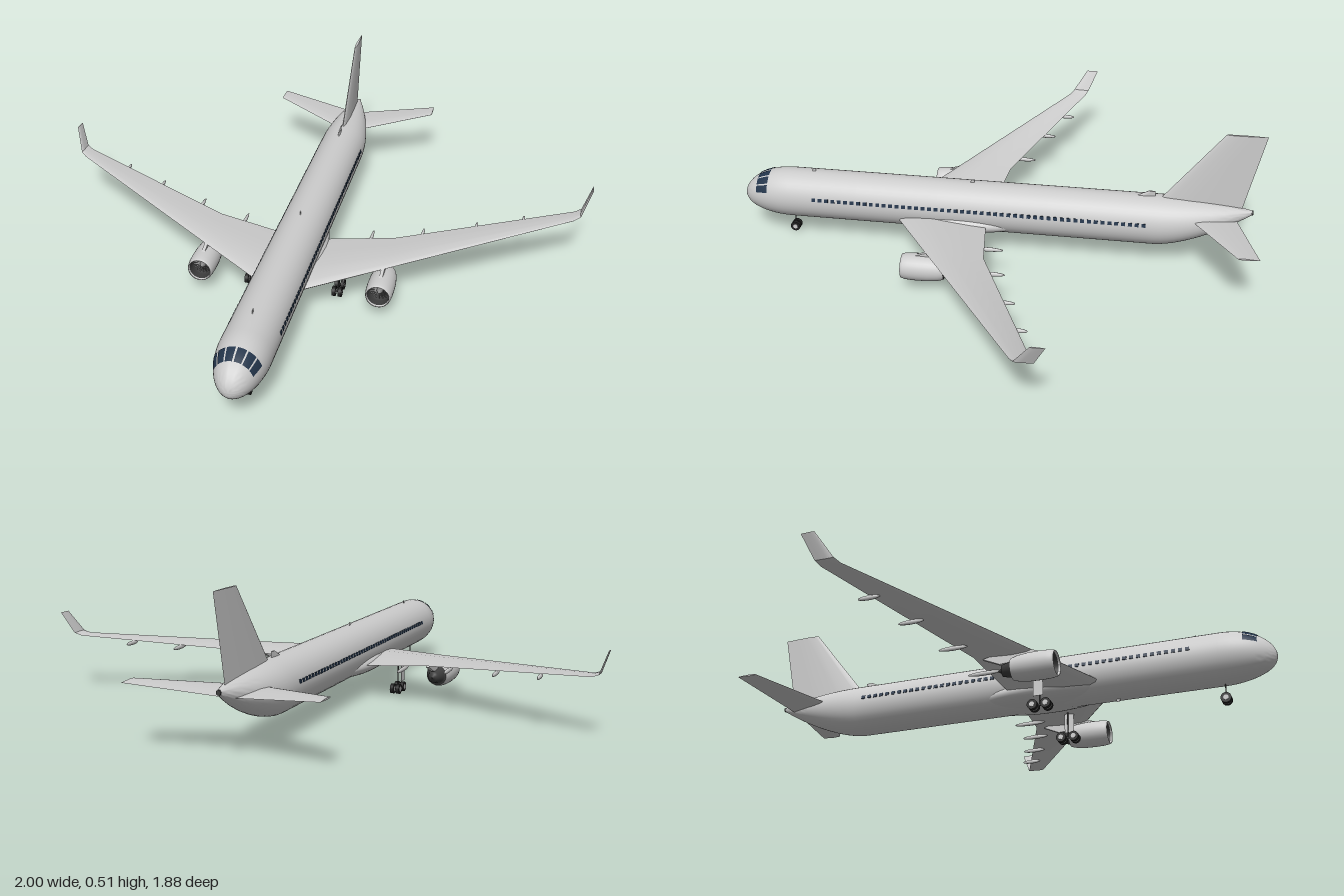
import * as THREE from 'three';
import { mergeGeometries, toCreasedNormals } from 'three/addons/utils/BufferGeometryUtils.js';

const mat = (name, color, side = THREE.FrontSide) => {
  const m = new THREE.MeshStandardMaterial({ color, side });
  m.name = name;
  return m;
};

// Skin over a row of closed rings, with both ends capped.
function loft(rings, crease = 0.6) {
  const n = rings[0].length, pos = [], index = [];
  rings.forEach(r => r.forEach(p => pos.push(p.x, p.y, p.z)));
  for (let i = 0; i < rings.length - 1; i++) {
    for (let j = 0; j < n; j++) {
      const a = i * n + j, b = i * n + (j + 1) % n;
      index.push(a, b, b + n, a, b + n, a + n);
    }
  }
  [0, rings.length - 1].forEach((i, end) => {
    const c = rings[i].reduce((s, p) => s.add(p), new THREE.Vector3()).divideScalar(n);
    const k = pos.length / 3;
    pos.push(c.x, c.y, c.z);
    for (let j = 0; j < n; j++) {
      const a = i * n + j, b = i * n + (j + 1) % n;
      if (end) index.push(k, a, b); else index.push(k, b, a);
    }
  });
  const g = new THREE.BufferGeometry();
  g.setAttribute('position', new THREE.Float32BufferAttribute(pos, 3));
  g.setIndex(index);
  return toCreasedNormals(g, crease);
}

// Aerofoil surface; each section is [x, y, leading z, trailing z, thickness, cant].
const FOIL = [[1, 0], [0.7, 0.28], [0.35, 0.5], [0.1, 0.36], [0.025, 0.18], [0, 0],
  [0.025, -0.18], [0.1, -0.36], [0.35, -0.5], [0.7, -0.28]];
function foil(sections, side = 1) {
  return loft(sections.map(([x, y, lead, trail, thick, cant = 0]) => {
    const ring = FOIL.map(([u, h]) => new THREE.Vector3(
      side * (x - Math.sin(cant) * h * thick),
      y + Math.cos(cant) * h * thick,
      lead + (trail - lead) * u));
    return side < 0 ? ring.reverse() : ring;
  }));
}

// Fuselage cross-section at a station along z.
function section(z) {
  if (z > 0.76) {
    const t = Math.min((z - 0.76) / 0.182, 1), f = Math.max(Math.sqrt(1 - t * t), 0.01);
    return { cy: 0.163 - 0.013 * t ** 3, rx: 0.088 * f, ry: 0.092 * f };
  }
  const t = Math.max(0, (-0.58 - z) / 0.335);
  const top = 0.255 - 0.03 * t * t, bottom = 0.071 + 0.136 * t ** 1.6;
  return { cy: (top + bottom) / 2, rx: 0.088 * (1 - t ** 1.8) + 0.008 * t, ry: (top - bottom) / 2 };
}
function skin(z, a, grow = 1) {
  const s = section(z);
  return new THREE.Vector3(s.rx * grow * Math.sin(a), s.cy + s.ry * grow * Math.cos(a), z);
}

// Surface of revolution along z from [radius, z] points, rear to front.
const turned = (pts, seg = 32) =>
  new THREE.LatheGeometry(pts.map(p => new THREE.Vector2(...p)), seg).rotateX(Math.PI / 2);

export function createModel() {
  const model = new THREE.Group();
  const body = mat('body grey', 0xcccccc);
  const glass = mat('window blue', 0x22344a, THREE.DoubleSide);
  const dark = mat('dark metal', 0x3c3c3c, THREE.DoubleSide);
  const fanGrey = mat('fan grey', 0x808080);
  const rubber = mat('tyre black', 0x222222);
  const add = (name, geo, material, x = 0, y = 0, z = 0, parent = model) => {
    const m = new THREE.Mesh(geo, material);
    m.name = name;
    m.position.set(x, y, z);
    parent.add(m);
    return m;
  };

  // Fuselage
  const stations = [];
  for (let i = 0; i <= 14; i++) stations.push(-0.915 + 0.335 * i / 14);
  stations.push(-0.2, 0.2, 0.5);
  for (let i = 0; i <= 14; i++) stations.push(0.76 + 0.182 * Math.sin(i / 14 * Math.PI / 2));
  add('fuselage', loft(stations.map(z => Array.from({ length: 40 },
    (_, j) => skin(z, -j / 40 * Math.PI * 2))), 0.8), body);
  add('bellyFairing', new THREE.SphereGeometry(1, 32, 20).scale(0.1, 0.046, 0.27), body, 0, 0.117, 0.13);
  add('tailExhaust', new THREE.CylinderGeometry(0.008, 0.009, 0.012, 16).rotateX(-Math.PI / 2), dark, 0, 0.216, -0.914);

  // Cabin windows, one row per side
  const panes = [];
  for (const s of [-1, 1]) {
    for (let i = 0; i < 51; i++) {
      panes.push(new THREE.BoxGeometry(0.003, 0.013, 0.014)
        .rotateZ(s * 0.19).translate(s * 0.0867, 0.18, 0.658 - i * 0.024));
    }
  }
  add('cabinWindows', mergeGeometries(panes), glass);

  // Cockpit panes wrapped onto the nose
  const cockpit = [];
  for (const [a0, a1] of [[0.04, 0.4], [0.47, 0.83], [0.9, 1.25]]) {
    for (const s of [-1, 1]) {
      const g = new THREE.PlaneGeometry(1, 1, 5, 5), p = g.attributes.position;
      const [l, r] = s > 0 ? [a0, a1] : [-a1, -a0];
      for (let i = 0; i < p.count; i++) {
        const v = skin(0.884 - 0.046 * (p.getY(i) + 0.5), l + (r - l) * (p.getX(i) + 0.5), 1.02);
        p.setXYZ(i, v.x, v.y, v.z + 0.001);
      }
      g.computeVertexNormals();
      cockpit.push(g);
    }
  }
  add('cockpitWindows', mergeGeometries(cockpit), glass);

  // Fin and small aerials
  const up = Math.PI / 2;
  add('fin', foil([[0, 0.2, -0.557, -0.874, 0.022, up], [0, 0.513, -0.8, -0.94, 0.01, up]]), body);
  add('dorsalBlade', foil([[0, 0.245, -0.495, -0.575, 0.01, up], [0, 0.274, -0.55, -0.575, 0.006, up]]), body);
  for (const z of [0.685, 0.092]) {
    add('aerial', foil([[0, 0.25, z, z - 0.018, 0.004, up], [0, 0.266, z - 0.008, z - 0.018, 0.003, up]]), body);
  }
  add('bellyAerial', foil([[0, 0.06, 0.397, 0.388, 0.003, up], [0, 0.08, 0.405, 0.388, 0.004, up]]), body);

  // Shapes shared by both sides
  const pylonShape = new THREE.Shape([[0.245, 0.126], [0.19, 0.145], [0.08, 0.148], [0.02, 0.135],
    [0.08, 0.108], [0.2, 0.115]].map(p => new THREE.Vector2(...p)));
  const pylonGeo = new THREE.ExtrudeGeometry(pylonShape, { depth: 0.012, bevelEnabled: false })
    .translate(0, 0, -0.006).rotateY(-Math.PI / 2);
  const nacelleGeo = turned([[0.037, 0.125], [0.043, 0.145], [0.047, 0.18], [0.048, 0.22], [0.047, 0.25],
    [0.045, 0.267], [0.042, 0.276], [0.039, 0.274], [0.038, 0.268]]);
  const ductGeo = turned([[0, 0.228], [0.037, 0.228], [0.037, 0.245], [0.038, 0.269]]);
  const coreGeo = turned([[0, 0.072], [0.012, 0.09], [0.02, 0.09], [0.028, 0.125], [0.037, 0.127]]);
  const spinnerGeo = turned([[0.012, 0.23], [0.009, 0.242], [0.004, 0.25], [0, 0.252]], 20);
  const fanGeo = mergeGeometries(Array.from({ length: 18 }, (_, i) =>
    new THREE.BoxGeometry(0.0045, 0.024, 0.0015).rotateY(0.5)
      .translate(0, 0.023, 0.233).rotateZ(i / 18 * Math.PI * 2)));
  const tyreGeo = new THREE.CylinderGeometry(0.018, 0.018, 0.013, 24).rotateZ(Math.PI / 2);
  const hubGeo = new THREE.CylinderGeometry(0.009, 0.009, 0.015, 16).rotateZ(Math.PI / 2);
  const wheel = (x, z, parent) => {
    add('tyre', tyreGeo, rubber, x, 0.018, z, parent);
    add('hub', hubGeo, body, x, 0.018, z, parent);
  };

  for (const s of [-1, 1]) {
    const side = s > 0 ? 'left' : 'right';

    // Wing with upturned tip
    add(side + 'Wing', foil([
      [0, 0.112, 0.385, 0.03, 0.04], [0.085, 0.122, 0.337, 0.02, 0.036],
      [0.33, 0.146, 0.188, -0.012, 0.02], [0.945, 0.207, -0.187, -0.253, 0.007],
      [0.967, 0.217, -0.2, -0.262, 0.006, 0.6], [0.999, 0.297, -0.252, -0.297, 0.004, 1.15]], s), body);

    // Flap fairings below the trailing edge: [x, rear z, half length]
    for (const [x, z, h] of [[0.24, -0.068, 0.06], [0.42, -0.1, 0.052], [0.605, -0.16, 0.045], [0.768, -0.22, 0.038]]) {
      add(side + 'FlapFairing', new THREE.SphereGeometry(1, 14, 10).scale(0.006, 0.008, h),
        body, s * x, 0.103 + x * 0.1, z + h);
    }

    // Tailplane
    add(side + 'Tailplane', foil([[0.01, 0.189, -0.685, -0.862, 0.016], [0.323, 0.22, -0.856, -0.928, 0.006]], s), body);

    // Engine
    const engine = new THREE.Group();
    engine.name = side + 'Engine';
    engine.position.set(s * 0.322, 0.085, 0);
    model.add(engine);
    add('nacelle', nacelleGeo, body, 0, 0, 0, engine);
    add('intakeDuct', ductGeo, dark, 0, 0, 0, engine);
    add('fanBlades', fanGeo, fanGrey, 0, 0, 0, engine);
    add('spinner', spinnerGeo, fanGrey, 0, 0, 0, engine);
    add('exhaustCore', coreGeo, dark, 0, 0, 0, engine);
    add(side + 'Pylon', pylonGeo, body, s * 0.322, 0, 0);

    // Main landing gear
    const gear = new THREE.Group();
    gear.name = side + 'MainGear';
    model.add(gear);
    for (const x of [0.15, 0.172]) for (const z of [0.14, 0.187]) wheel(s * x, z, gear);
    add('leg', new THREE.CylinderGeometry(0.0025, 0.0025, 0.11, 10), dark, s * 0.161, 0.073, 0.163, gear);
    add('bogie', new THREE.BoxGeometry(0.005, 0.005, 0.05), dark, s * 0.161, 0.018, 0.163, gear);
    add('gearDoor', new THREE.BoxGeometry(0.002, 0.08, 0.035), body, s * 0.179, 0.085, 0.163, gear);
  }

  // Nose landing gear
  const noseGear = new THREE.Group();
  noseGear.name = 'noseGear';
  model.add(noseGear);
  for (const x of [-0.0095, 0.0095]) wheel(x, 0.762, noseGear);
  add('leg', new THREE.CylinderGeometry(0.002, 0.002, 0.065, 10), dark, 0, 0.05, 0.762, noseGear);

  return model;
}
